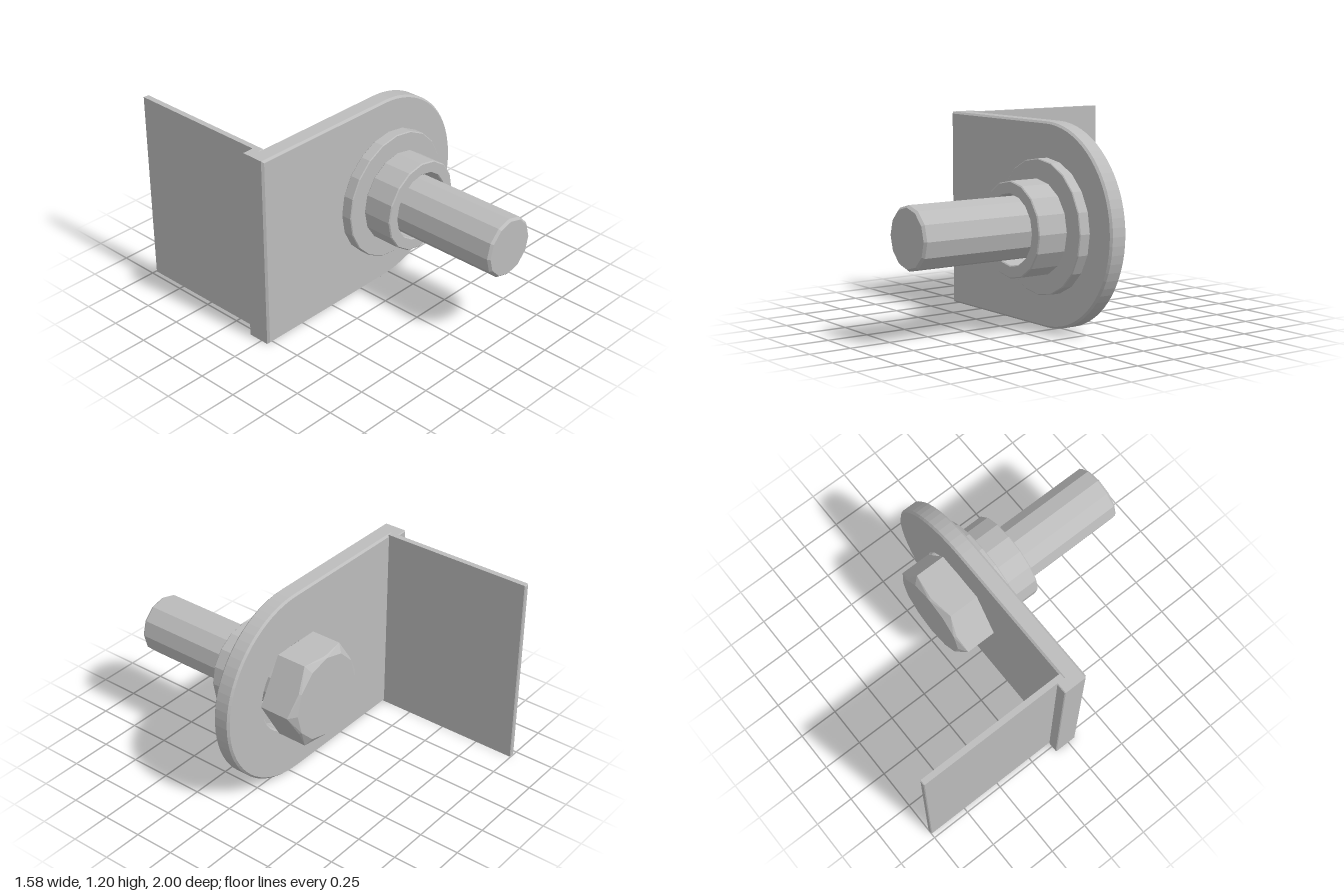
import * as THREE from 'three';
import { ConvexGeometry } from 'three/addons/geometries/ConvexGeometry.js';

const steel = new THREE.MeshStandardMaterial({ color: 0xbcbcbc });
steel.name = 'steel grey';

// Gives every face its own flat normal
function facet(geometry) {
  const flat = geometry.index ? geometry.toNonIndexed() : geometry;
  flat.computeVertexNormals();
  return flat;
}

// Extrudes a shape between two z values, with small chamfers inside its outline
function chamferedSlab(shape, z0, z1, bevel, curveSegments = 18) {
  return facet(new THREE.ExtrudeGeometry(shape, {
    depth: z1 - z0 - 2 * bevel, bevelEnabled: true, bevelThickness: bevel,
    bevelSize: bevel, bevelOffset: -bevel, bevelSegments: 1, curveSegments,
  }).translate(0, 0, z0 + bevel));
}

function rectangle(x0, y0, x1, y1) {
  return new THREE.Shape([[x0, y0], [x1, y0], [x1, y1], [x0, y1]]
    .map(([x, y]) => new THREE.Vector2(x, y)));
}

// Turned part along z: profile holds [radius, z] pairs
function turned(profile, sides, x, y) {
  const points = profile.map(([r, z]) => new THREE.Vector2(r, z));
  return facet(new THREE.LatheGeometry(points, sides).rotateX(Math.PI / 2).translate(x, y, 0));
}

function ringProfile(inner, outer, z0, z1, c) {
  return [[inner, z0], [outer - c, z0], [outer, z0 + c], [outer, z1 - c],
    [outer - c, z1], [inner + c, z1], [inner, z1 - c], [inner, z0]];
}

export function createModel() {
  const model = new THREE.Group();
  model.name = 'bracketWithBolt';
  const add = (name, geometry) => {
    const mesh = new THREE.Mesh(geometry, steel);
    mesh.name = name;
    model.add(mesh);
  };

  // Mounting plate with one round end and a bore
  const outline = new THREE.Shape();
  outline.moveTo(-0.79, 0);
  outline.lineTo(0.19, 0);
  outline.absarc(0.19, 0.6, 0.6, -Math.PI / 2, Math.PI / 2, false);
  outline.lineTo(-0.79, 1.2);
  outline.closePath();
  const bore = new THREE.Path();
  bore.absarc(0.215, 0.6, 0.275, 0, Math.PI * 2, true);
  outline.holes.push(bore);
  add('plate', chamferedSlab(outline, -0.05, 0.06, 0.012));

  // Raised lip and thin flange behind the straight end
  add('edgeLip', chamferedSlab(rectangle(-0.79, 0, -0.72, 1.2), -0.095, 0.04, 0.005));
  add('flange', chamferedSlab(rectangle(-0.72, 0, -0.685, 1.2), -1, -0.04, 0.005));

  // Washer and bushing on the front
  add('washer', turned(ringProfile(0.205, 0.395, 0.063, 0.135, 0.005), 20, 0.215, 0.6));
  add('bushing', turned(ringProfile(0.205, 0.28, 0.135, 0.33, 0.006), 16, 0.215, 0.6));

  // Bolt shank
  const boltX = 0.195, boltY = 0.608;
  add('boltShank', turned(
    [[0, -0.06], [0.183, -0.06], [0.183, 0.985], [0.17, 1], [0, 1]], 12, boltX, boltY));

  // Hexagonal bolt head with chamfered corners
  const corners = [];
  const point = (r, angle, z) => corners.push(
    new THREE.Vector3(boltX + r * Math.cos(angle), boltY + r * Math.sin(angle), z));
  for (let i = 0; i < 6; i++) {
    const a = i * Math.PI / 3, half = a + Math.PI / 6;
    point(0.315, a, -0.05);
    point(0.315, a, -0.24);
    point(0.315 * Math.cos(Math.PI / 6), half, -0.262);
    point(0.262, a, -0.275);
    point(0.262, half, -0.275);
  }
  add('boltHead', facet(new ConvexGeometry(corners)));

  return model;
}
